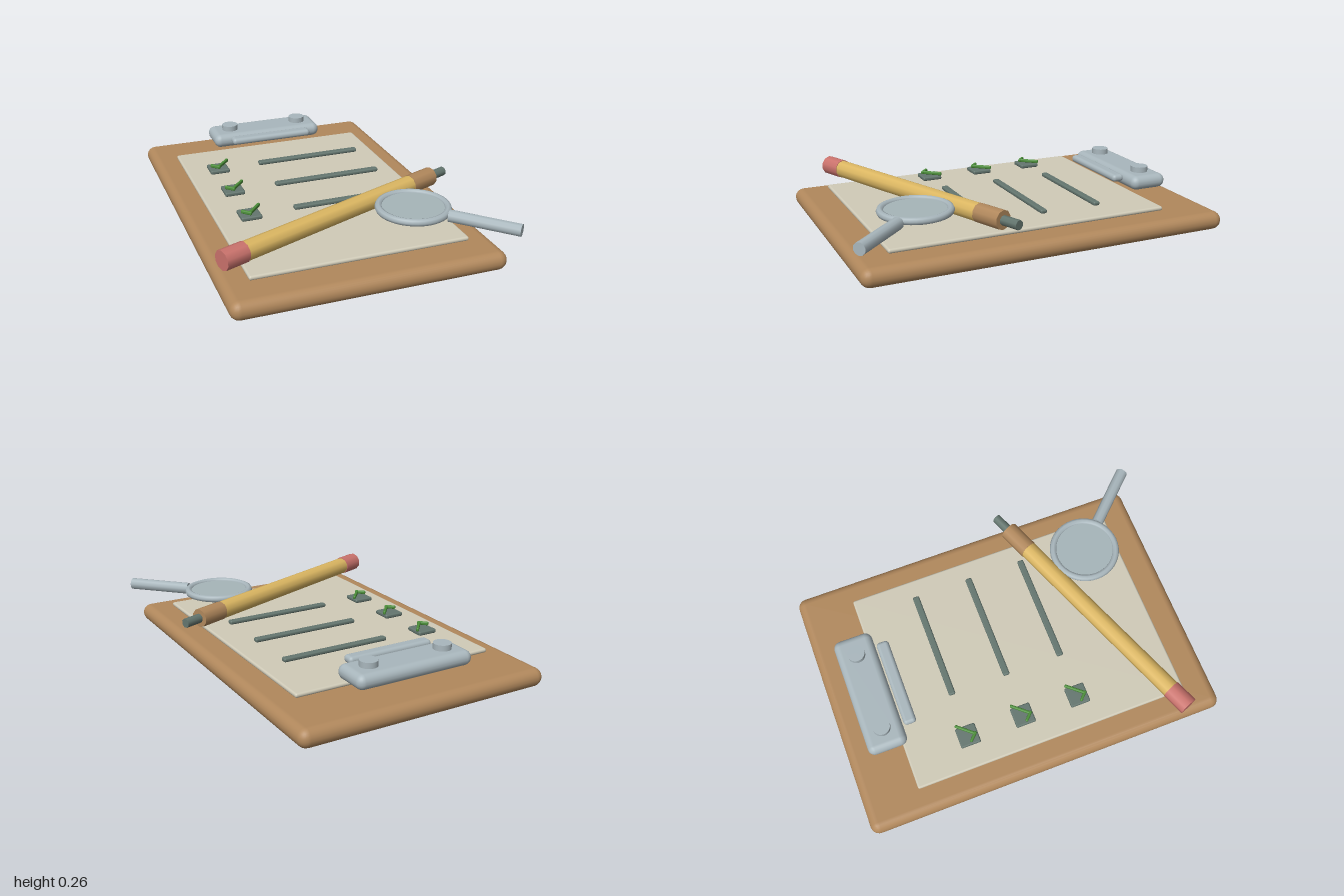
import * as THREE from 'three';
import { RoundedBoxGeometry } from 'three/addons/geometries/RoundedBoxGeometry.js';

const mat = (name, color) => {
  const m = new THREE.MeshStandardMaterial({ color });
  m.name = name;
  return m;
};

export function createModel() {
  const group = new THREE.Group();
  const wood = mat('wood', 0xb1885c);
  const paper = mat('paper', 0xd0cbb8);
  const metal = mat('metal', 0xa9b7bd);
  const glass = mat('glass', 0xa6b5b9);
  const ink = mat('slate', 0x64766f);
  const green = mat('green', 0x4c8f3a);
  const yellow = mat('yellow', 0xdcb762);
  const pink = mat('pink', 0xcb736d);

  const add = (name, geo, material, x = 0, y = 0, z = 0) => {
    const mesh = new THREE.Mesh(geo, material);
    mesh.name = name;
    mesh.position.set(x, y, z);
    group.add(mesh);
    return mesh;
  };

  // Rounded slab given by its min and max on each axis
  const slab = (name, material, [x0, x1], [y0, y1], [z0, z1], r, seg = 3) =>
    add(name, new RoundedBoxGeometry(x1 - x0, y1 - y0, z1 - z0, seg, r), material,
      (x0 + x1) / 2, (y0 + y1) / 2, (z0 + z1) / 2);

  // Cylinder running from a to b
  const rod = (name, material, a, b, r, sides) => {
    const dir = b.clone().sub(a);
    const mesh = add(name, new THREE.CylinderGeometry(r, r, dir.length(), sides), material);
    mesh.position.copy(a).add(b).multiplyScalar(0.5);
    mesh.quaternion.setFromUnitVectors(new THREE.Vector3(0, 1, 0), dir.normalize());
    return mesh;
  };

  // Board and sheet
  slab('board', wood, [-0.72, 0.66], [0, 0.097], [-1, 0.96], 0.048);
  slab('sheet', paper, [-0.59, 0.525], [0.107, 0.13], [-0.705, 0.795], 0.011, 2);

  // Clip with two rivets
  slab('clipPlate', metal, [-0.357, 0.295], [0.147, 0.225], [-0.88, -0.67], 0.038);
  slab('clipLip', metal, [-0.27, 0.208], [0.185, 0.225], [-0.662, -0.595], 0.019);
  for (const x of [-0.243, 0.18])
    add('rivet', new THREE.CylinderGeometry(0.046, 0.046, 0.04, 24), metal, x, 0.235, -0.775);

  // Checklist rows: written line, tick box and tick mark
  for (const z of [-0.372, -0.065, 0.243]) {
    slab('textLine', ink, [-0.187, 0.412], [0.145, 0.167], [z - 0.018, z + 0.018], 0.009, 2);
    slab('tickBox', ink, [-0.478, -0.37], [0.145, 0.167], [z - 0.054, z + 0.054], 0.008, 2);
    const stroke = (x0, z0, x1, z1) => {
      const dx = x1 - x0, dz = z1 - z0;
      const mesh = add('tickStroke', new RoundedBoxGeometry(Math.hypot(dx, dz), 0.019, 0.015, 2, 0.006),
        green, (x0 + x1) / 2, 0.181, z + (z0 + z1) / 2);
      mesh.rotation.y = -Math.atan2(dz, dx);
    };
    stroke(-0.467, 0.002, -0.424, 0.045);
    stroke(-0.436, 0.042, -0.359, -0.048);
  }

  // Pencil lying across the sheet
  const start = new THREE.Vector3(-0.701, 0.212, 0.75);
  const along = new THREE.Vector3(0.93, 0, -0.367).normalize();
  const at = (t) => start.clone().addScaledVector(along, t);
  rod('eraser', pink, at(0), at(0.127), 0.051, 10);
  rod('pencilBody', yellow, at(0.125), at(1.22), 0.048, 10);
  rod('pencilCollar', wood, at(1.22), at(1.382), 0.05, 10);
  rod('pencilLead', ink, at(1.36), at(1.485), 0.025, 8);

  // Magnifying glass
  const ring = add('lensRing', new THREE.TorusGeometry(0.172, 0.019, 8, 40), metal, 0.317, 0.231, 0.587);
  ring.rotation.x = Math.PI / 2;
  add('lens', new THREE.CylinderGeometry(0.165, 0.165, 0.012, 40), glass, 0.317, 0.231, 0.587);
  rod('lensHandle', metal, new THREE.Vector3(0.448, 0.223, 0.72),
    new THREE.Vector3(0.695, 0.223, 0.976), 0.032, 10);

  return group;
}
